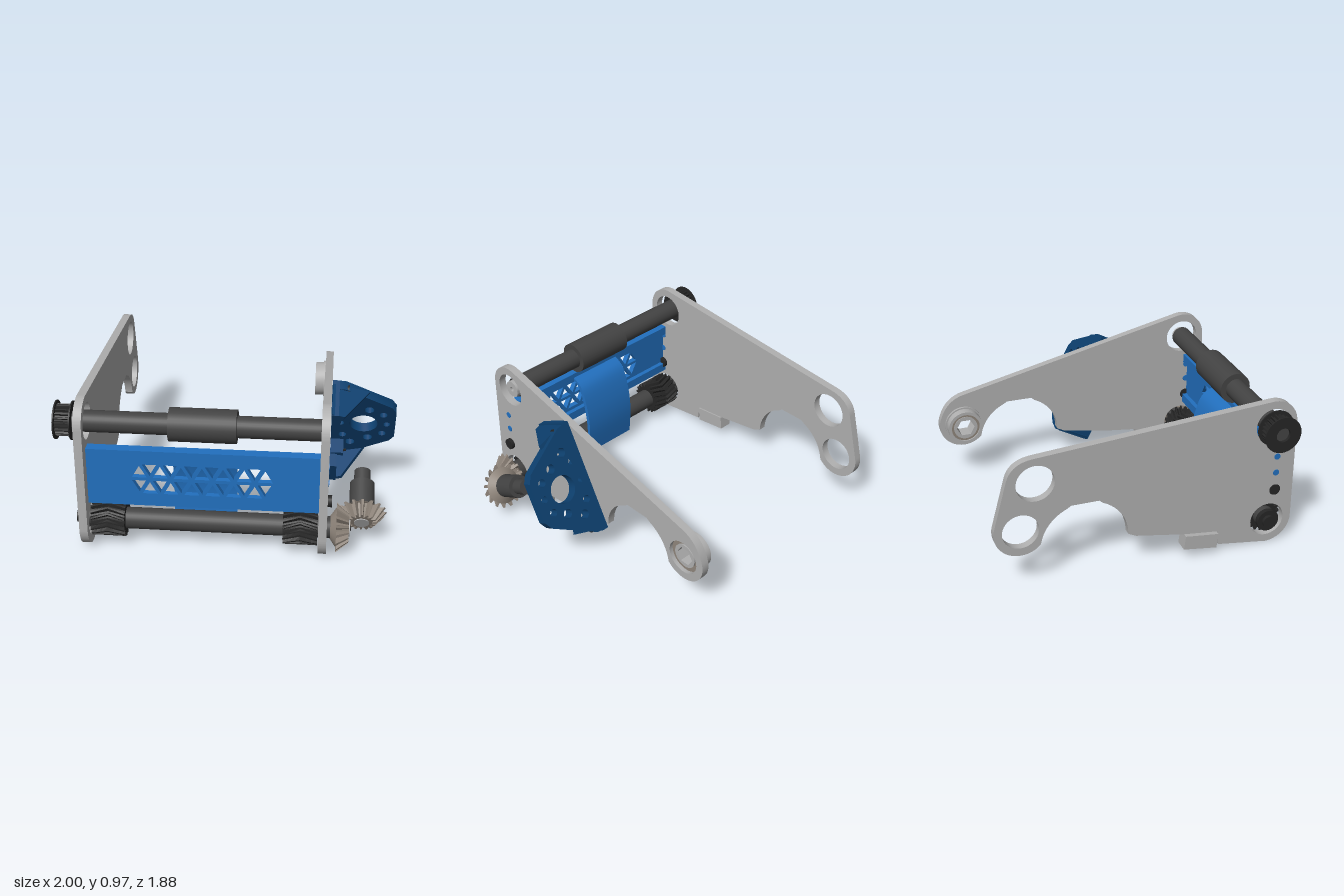
import * as THREE from 'three';
import { toCreasedNormals } from 'three/addons/utils/BufferGeometryUtils.js';

const mat = (name, color) => Object.assign(new THREE.MeshStandardMaterial({ color }), { name });
const rad = THREE.MathUtils.degToRad;

export function createModel() {
  const grey = mat('aluminium grey', 0xb0b0b0);
  const dark = mat('dark tube', 0x434343);
  const black = mat('black plastic', 0x262626);
  const blue = mat('bright blue', 0x2270bf);
  const navy = mat('navy blue', 0x0d406f);
  const steel = mat('gear steel', 0x8f857b);
  const model = new THREE.Group();

  const add = (name, geo, material, parent = model) => {
    const m = new THREE.Mesh(geo, material);
    m.name = name;
    parent.add(m);
    return m;
  };
  const extrude = (shape, depth) => toCreasedNormals(
    new THREE.ExtrudeGeometry(shape, { depth, bevelEnabled: false, curveSegments: 20 }), 0.5);
  // shapes drawn with u = -z and v = y, extruded along +x from x0
  const sideways = (shape, x0, x1) => extrude(shape, x1 - x0).rotateY(Math.PI / 2).translate(x0, 0, 0);
  const rod = (x0, x1, r, y, z, sides = 32) =>
    new THREE.CylinderGeometry(r, r, x1 - x0, sides).rotateZ(Math.PI / 2).translate((x0 + x1) / 2, y, z);
  const circle = (x, y, r) => new THREE.Path().absarc(x, y, r, 0, Math.PI * 2, true);
  const polygon = (pts, Type = THREE.Shape) => new Type(pts.map(p => new THREE.Vector2(...p)));
  const ring = (outer, inner, x0, x1, y, z) => {
    const s = new THREE.Shape().absarc(0, 0, outer, 0, Math.PI * 2);
    s.holes.push(inner);
    return sideways(s, x0, x1).translate(0, y, z);
  };
  const toothed = (n, tip, root, hole = 0) => {
    const pts = [];
    for (let i = 0; i < n; i++) {
      [[-0.32, root], [-0.14, tip], [0.14, tip], [0.32, root]].forEach(([o, r]) => {
        const a = (i + o) / n * Math.PI * 2;
        pts.push([Math.cos(a) * r, Math.sin(a) * r]);
      });
    }
    const s = polygon(pts);
    if (hole) s.holes.push(circle(0, 0, hole));
    return s;
  };
  // gear along +z with optional twist and taper towards the far end
  const gear = (shape, depth, twist = 0, taper = 1) => {
    const g = new THREE.ExtrudeGeometry(shape, { depth, bevelEnabled: false, steps: twist ? 3 : 1 });
    const p = g.attributes.position;
    for (let i = 0; i < p.count; i++) {
      const t = p.getZ(i) / depth, a = twist * t, k = 1 + (taper - 1) * t;
      const x = p.getX(i) * k, y = p.getY(i) * k;
      p.setXY(i, x * Math.cos(a) - y * Math.sin(a), x * Math.sin(a) + y * Math.cos(a));
    }
    g.computeVertexNormals();
    return g;
  };

  const AZ = 0.78, TOP = 0.815, LOW = 0.165;

  // side plates: left one carries a taller arm with a second opening
  const plateShape = tall => {
    const s = new THREE.Shape();
    s.absarc(-AZ, LOW, 0.16, Math.PI, 1.5 * Math.PI);
    [[-0.46, 0.05], [-0.45, 0.145], [-0.23, 0.17], [0.08, 0.225], [0.13, 0.25]].forEach(p => s.lineTo(...p));
    s.absarc(0.4, 0.25, 0.27, Math.PI, rad(114), true);
    s.lineTo(0.31, 0.515);
    s.lineTo(0.48, 0.515);
    s.absarc(0.4, 0.25, 0.27, rad(66), rad(10), true);
    s.absarc(0.785, 0.4, 0.16, rad(222), rad(374));
    if (tall) {
      s.lineTo(0.86, 0.74);
      s.quadraticCurveTo(0.83, 0.85, 0.70, 0.86);
    } else s.quadraticCurveTo(0.9, 0.58, 0.78, 0.61);
    s.absarc(-AZ, 0.82, 0.155, rad(tall ? 85 : 76), Math.PI);
    s.holes.push(circle(-AZ, TOP, 0.11), circle(-AZ, LOW, 0.11), circle(0.785, 0.4, 0.11));
    if (tall) s.holes.push(circle(0.69, 0.7, 0.115));
    return s;
  };
  add('leftSidePlate', sideways(plateShape(false), 0.545, 0.595), grey);
  add('rightSidePlate', sideways(plateShape(true), -0.87, -0.82), grey);

  // rollers
  add('upperRoller', rod(-0.9, 0.55, 0.065, TOP, AZ), dark);
  add('upperRollerSleeve', rod(-0.335, 0.06, 0.1, TOP, AZ), dark);
  add('lowerRoller', rod(-0.87, 0.55, 0.065, LOW, AZ), dark);
  for (const y of [TOP, LOW]) {
    add('shaftHub', ring(0.055, circle(0, 0, 0.016), 0.55, 0.58, y, AZ), grey);
  }
  add('lowerEndCap', rod(-0.89, -0.86, 0.07, LOW, AZ), black);
  add('lowerEndKnob', rod(-0.91, -0.88, 0.04, LOW, AZ), black);

  // herringbone gears on the lower roller
  for (const x0 of [-0.815, 0.335]) {
    for (const dir of [1, -1]) {
      const g = gear(toothed(18, 0.112, 0.09), 0.1025, 0.28 * dir);
      g.rotateY(dir * Math.PI / 2).translate(x0 + 0.1025, LOW, AZ);
      add('herringboneGear', g, black);
    }
  }

  // belt pulley
  add('pulleyTeeth', gear(toothed(22, 0.095, 0.08, 0.045), 0.1).rotateY(Math.PI / 2).translate(-1, TOP, AZ), black);
  for (const x of [-1, -0.905]) add('pulleyFlange', ring(0.115, circle(0, 0, 0.06), x, x + 0.008, TOP, AZ), black);
  add('pulleyHub', rod(-0.98, -0.9, 0.05, TOP, AZ), dark);

  // front panel with a row of triangular openings
  const panel = polygon([[-0.82, 0.31], [0.545, 0.31], [0.545, 0.675], [-0.82, 0.675]]);
  const side = 0.123, high = side * 0.866;
  for (const row of [1, -1]) {
    for (let i = 0; i < 13; i++) {
      const cx = -0.57 + side / 2 * (i + 1);
      const up = i % 2 === 0 ? 1 : -1;
      const cy = 0.49 + row * high * (up === 1 ? 1 / 3 : 2 / 3);
      const r = side * 0.577 - 0.02;
      panel.holes.push(polygon([90, 210, 330].map(a =>
        [cx + r * Math.cos(rad(a)), cy + r * Math.sin(rad(a)) * row * up]), THREE.Path));
    }
  }
  add('frontPanel', extrude(panel, 0.035).translate(0, 0, 0.83), blue);
  for (const y of [0.34, 0.645]) {
    add('panelRib', new THREE.BoxGeometry(1.365, 0.06, 0.03).translate(-0.1375, y, 0.815), blue);
  }
  for (const [a, b] of [[0.54, 0.599], [-0.874, -0.815]]) {
    for (const y of [0.6, 0.49]) add('panelPin', rod(a, b, 0.02, y, 0.82, 16), blue);
    add('panelBolt', rod(a, b + 0.02, 0.036, 0.37, 0.82, 16), black);
  }

  // curved guide hanging behind the panel
  const outer = [[-0.83, 0.655], [-0.73, 0.6], [-0.675, 0.45], [-0.655, 0.28], [-0.67, 0.08]];
  const line = new THREE.SplineCurve(outer.map(p => new THREE.Vector2(...p))).getPoints(16).map(p => [p.x, p.y]);
  const back = line.map(([u, y]) => [u - 0.025, y - 0.01]).reverse();
  add('curvedGuide', sideways(polygon([...line, ...back]), -0.33, 0.05), blue);

  // hex bearing at the rear of the left plate
  const hex = r => polygon([0, 1, 2, 3, 4, 5].map(i => [r * Math.cos(i * Math.PI / 3), r * Math.sin(i * Math.PI / 3)]), THREE.Path);
  add('bearingHousing', ring(0.115, circle(0, 0, 0.095), 0.475, 0.535, 0.4, -0.785), grey);
  add('bearingFlange', ring(0.125, circle(0, 0, 0.1), 0.53, 0.545, 0.4, -0.785), grey);
  add('bearingSeal', ring(0.11, circle(0, 0, 0.078), 0.485, 0.57, 0.4, -0.785), steel);
  add('bearingHexCore', ring(0.079, hex(0.06), 0.48, 0.58, 0.4, -0.785), grey);

  // small block in the right plate's notch
  const block = polygon([[-0.435, 0.05], [-0.22, 0.08], [-0.23, 0.17], [-0.445, 0.145]]);
  for (const [u, y] of [[-0.38, 0.105], [-0.28, 0.118]]) block.holes.push(circle(u, y, 0.014));
  add('notchBlock', sideways(block, -0.9, -0.81), grey);

  // loose screw
  add('screwHead', rod(0.335, 0.375, 0.03, 0.075, 0.51, 20), dark);
  add('screwShank', rod(0.375, 0.525, 0.016, 0.075, 0.51, 16), dark);

  // tilted motor mount outside the left plate
  const mount = new THREE.Group();
  mount.name = 'motorMount';
  mount.position.set(0, 0.53, 0.07);
  mount.rotation.x = rad(28);
  model.add(mount);
  const face = polygon([[0.597, -0.365], [0.68, -0.355], [0.97, -0.18], [1, -0.13],
    [1, 0.13], [0.97, 0.18], [0.68, 0.355], [0.597, 0.365]]);
  face.holes.push(circle(0.8, 0, 0.088), circle(0.655, 0, 0.022), circle(0.945, 0, 0.022));
  for (const s of [1, -1]) {
    face.holes.push(circle(0.67, s * 0.13, 0.025), circle(0.72, s * 0.21, 0.03),
      circle(0.83, s * 0.15, 0.03), circle(0.92, s * 0.1, 0.025));
  }
  add('mountFace', extrude(face, 0.065).translate(0, 0, -0.0325), navy, mount);
  for (const s of [1, -1]) {
    const half = new THREE.Group();
    half.name = s > 0 ? 'upperMountFoot' : 'lowerMountFoot';
    half.scale.y = s;
    mount.add(half);
    const foot = polygon([[0.03, 0.2], [-0.235, 0.2], [-0.235, 0.365], [0.03, 0.365]]);
    foot.holes.push(new THREE.Path().absellipse(-0.165, 0.285, 0.045, 0.03, 0, Math.PI * 2, true));
    add('footPlate', sideways(foot, 0.597, 0.64), navy, half);
    const gusset = polygon([[0, 0], [0.24, 0], [0.08, 0.23], [0, 0.23]]);
    const g = extrude(gusset, 0.025).rotateX(Math.PI / 2).scale(1, 1, 1);
    add('gusset', g.rotateZ(-0.3).translate(0.6, 0.37, 0), navy, half);
    add('innerGusset', new THREE.BoxGeometry(0.08, 0.03, 0.12).translate(0.64, 0.2, 0.08), navy, half);
    add('footBolt', rod(0.6, 0.7, 0.032, 0.32, 0.01, 16), black, half);
  }

  // drive shaft and bevel gear pair
  const axial = (z0, z1, r) => new THREE.CylinderGeometry(r, r, z1 - z0, 32)
    .rotateX(Math.PI / 2).translate(0.8, 0, (z0 + z1) / 2);
  add('driveShaftTip', axial(0.39, 0.5, 0.05), dark, mount);
  add('driveShaftBody', axial(0.48, 0.67, 0.075), dark, mount);
  const bevel = () => gear(toothed(16, 0.148, 0.105), 0.075, 0, 0.6);
  const bevelBack = () => new THREE.CylinderGeometry(0.12, 0.07, 0.035, 32).rotateX(Math.PI / 2).translate(0, 0, -0.0175);
  add('driveBevelGear', bevel().translate(0.8, 0, 0.675), steel, mount);
  add('driveBevelBack', bevelBack().translate(0.8, 0, 0.675), steel, mount);
  add('driveBevelHub', axial(0.74, 0.756, 0.045), grey, mount);
  add('rollerBevelGear', bevel().rotateZ(0.2).rotateY(Math.PI / 2).translate(0.65, LOW, AZ), steel);
  add('rollerBevelBack', bevelBack().rotateY(Math.PI / 2).translate(0.65, LOW, AZ), steel);
  add('rollerBevelHub', rod(0.56, 0.63, 0.065, LOW, AZ), dark);
  add('rollerBevelCap', rod(0.72, 0.732, 0.05, LOW, AZ), grey);
  add('rollerBevelScrew', rod(0.73, 0.738, 0.016, LOW, AZ, 6), black);

  return model;
}
